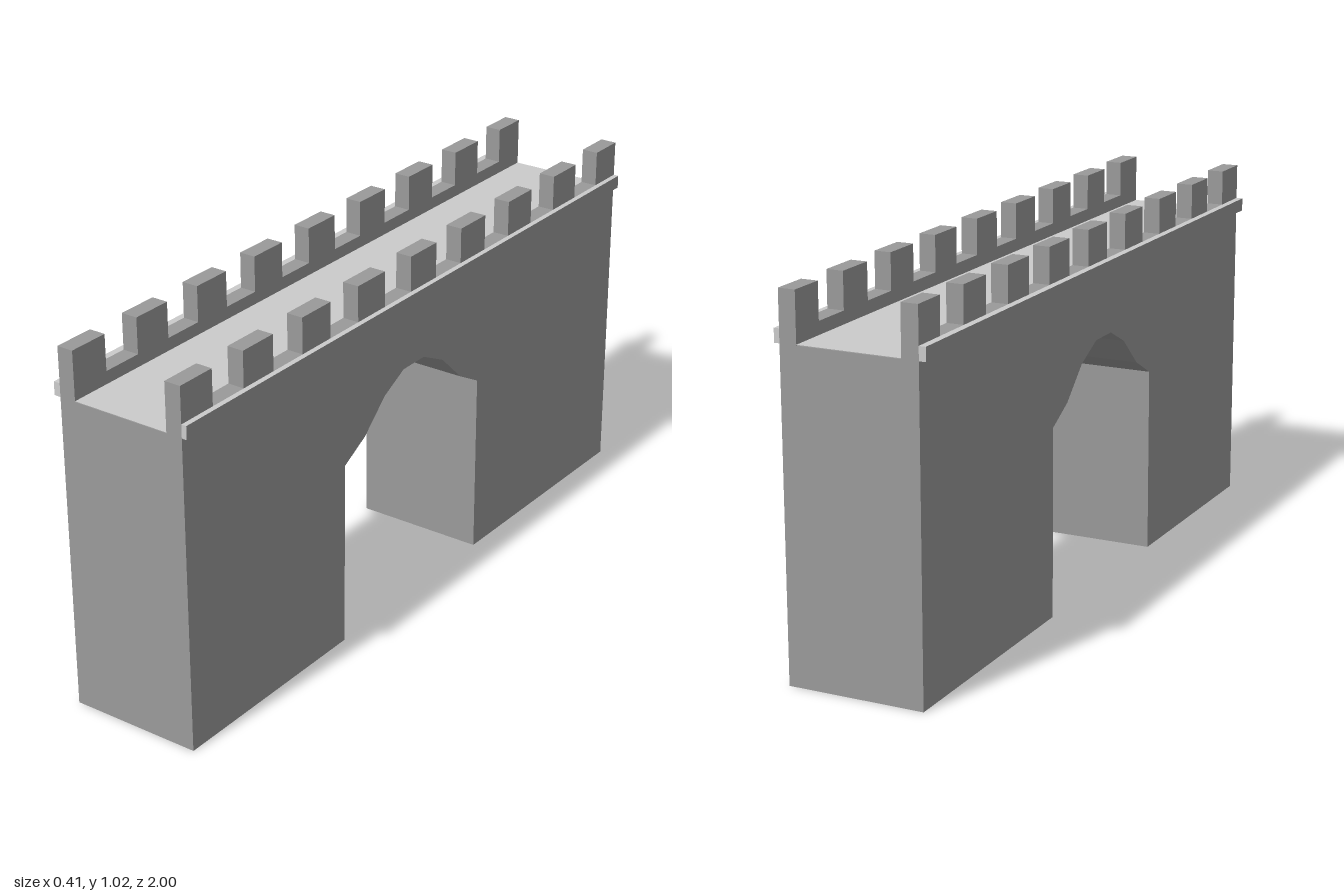
import * as THREE from 'three';

const stone = new THREE.MeshStandardMaterial({ color: 0x9a9a9a, flatShading: true });
const paleStone = new THREE.MeshStandardMaterial({ color: 0xcccccc, flatShading: true });

// Extrudes a side outline, given as [z, y] points, from x0 to x1.
// The materials are for the two flat sides and for the rim around them.
function sideSlab(name, outline, x0, x1, rim = stone) {
  const shape = new THREE.Shape(outline.map(([z, y]) => new THREE.Vector2(-z, y)));
  const geometry = new THREE.ExtrudeGeometry(shape, { depth: x1 - x0, bevelEnabled: false });
  geometry.rotateY(Math.PI / 2).translate(x0, 0, 0);
  const mesh = new THREE.Mesh(geometry, [stone, rim]);
  mesh.name = name;
  return mesh;
}

export function createModel() {
  const group = new THREE.Group();
  group.name = 'castleBridge';

  const wallLeft = 0.192, wallRight = -0.188, parapet = 0.047, ledgeReach = 0.207;
  const deck = 0.88, sill = 0.917, top = 1.017;

  // Wall body pierced by a faceted pointed arch
  const arch = [
    [0.354, 0], [0.35, 0.528], [0.26, 0.577], [0.17, 0.66], [0.083, 0.704],
    [-0.012, 0.704], [-0.103, 0.66], [-0.193, 0.575], [-0.28, 0.528], [-0.28, 0],
  ];
  group.add(sideSlab('wallBody',
    [[1, deck], [1, 0], ...arch, [-1, 0], [-1, deck]], wallRight, wallLeft));

  // Pale walkway surface between the parapets
  const walkway = new THREE.Mesh(
    new THREE.PlaneGeometry(wallLeft - wallRight - 2 * parapet, 2).rotateX(-Math.PI / 2), paleStone);
  walkway.name = 'walkway';
  walkway.position.set((wallLeft + wallRight) / 2, deck + 0.002, 0);
  group.add(walkway);

  // Crenellated outline shared by both parapets
  const pitch = 0.2368, merlon = 0.118;
  const crenels = [[1, deck]];
  for (let i = 0; i < 9; i++) {
    const start = 1 - i * pitch;
    const end = Math.max(start - merlon, -1);
    if (i > 0) crenels.push([start, sill]);
    crenels.push([start, top], [end, top]);
    if (i < 8) crenels.push([end, sill]);
  }
  crenels.push([-1, deck]);
  group.add(sideSlab('leftParapet', crenels, wallLeft - parapet, wallLeft));
  group.add(sideSlab('rightParapet', crenels, wallRight, wallRight + parapet));

  // Thin ledges along the outside, pale on top and at the ends
  const ledge = [[1, sill], [1, deck], [-1, deck], [-1, sill]];
  group.add(sideSlab('leftLedge', ledge, wallLeft, ledgeReach, paleStone));
  group.add(sideSlab('rightLedge', ledge, -ledgeReach, wallRight, paleStone));
  return group;
}
